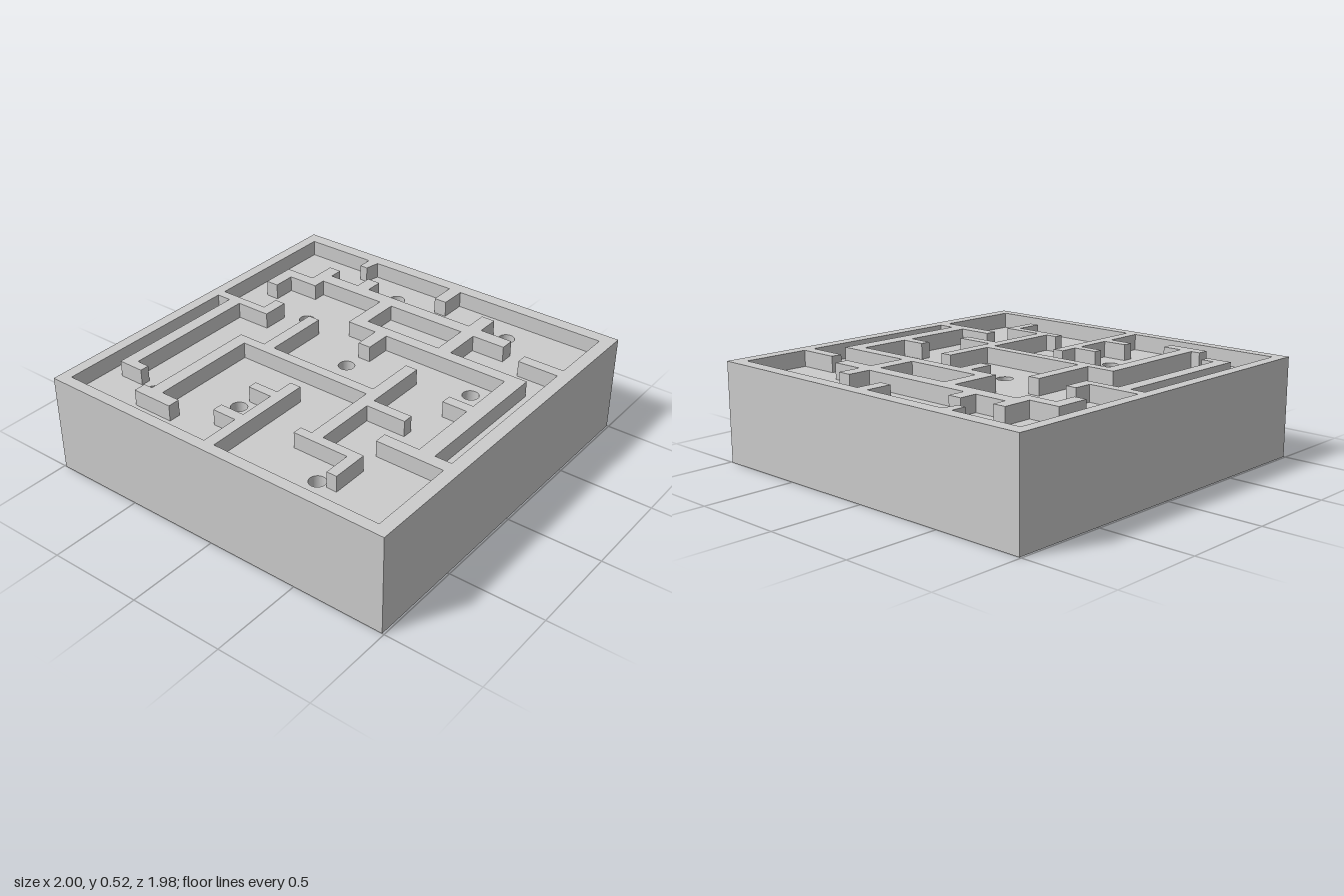
import * as THREE from 'three';

const TOP = 0.525, FLOOR = 0.44, PIT = 0.1;
const X = 1, Z = 0.99;

// Maze walls as [x0, x1, z0, z1], grouped by connected run
const WALLS = {
  backWall: [
    [0.11, 0.16, -0.93, -0.59], [-0.69, 0.11, -0.85, -0.78],
    [-0.69, -0.64, -0.78, -0.71], [0.16, 0.255, -0.65, -0.59],
  ],
  leftWall: [
    [-0.94, -0.33, -0.06, 0], [-0.73, -0.675, -0.195, -0.06], [-0.48, -0.43, -0.195, -0.06],
  ],
  centreWall: [
    [-0.835, -0.77, -0.605, -0.38], [-0.77, -0.13, -0.555, -0.485],
    [-0.185, -0.13, -0.485, 0.285], [-0.13, 0.23, -0.4, -0.335],
    [-0.595, 0.14, 0.285, 0.35], [-0.265, -0.21, 0.35, 0.565],
    [-0.645, -0.595, 0.22, 0.58], [-0.79, -0.645, 0.525, 0.58],
  ],
  frontWall: [
    [-0.47, -0.405, 0.555, 0.92], [-0.405, 0.375, 0.745, 0.83],
    [-0.02, 0.035, 0.61, 0.745], [0.31, 0.375, -0.2, 0.745],
    [0.17, 0.31, -0.03, 0.04], [0.375, 0.58, -0.2, -0.125],
    [0.375, 0.58, 0.315, 0.39], [0.58, 0.655, -0.585, 0.57],
    [0.655, 0.78, 0.315, 0.39], [0.655, 0.75, -0.405, -0.33],
    [0.51, 0.73, -0.655, -0.585], [0.51, 0.573, -0.825, -0.655],
    [0.39, 0.51, -0.825, -0.755],
  ],
  frontStub: [[0.51, 0.57, 0.7, 0.92]],
  rightStub: [[0.79, 0.93, 0.01, 0.08]],
};

// Centres of the ball holes, x and z
const HOLES = [
  [-0.69, -0.63], [0.31, -0.48], [-0.545, -0.205], [0.07, -0.03],
  [0.78, -0.23], [-0.78, 0.465], [0.79, 0.465], [0.22, 0.615],
];
const HOLE_RADIUS = 0.042;

const rectPoints = (x0, x1, z0, z1) => [
  new THREE.Vector2(x0, z0), new THREE.Vector2(x1, z0),
  new THREE.Vector2(x1, z1), new THREE.Vector2(x0, z1),
];

export function createModel() {
  const model = new THREE.Group();
  model.name = 'marbleMaze';
  const material = new THREE.MeshStandardMaterial({ color: 0xcccccc });

  const add = (geometry, name, parent = model) => {
    const mesh = new THREE.Mesh(geometry, material);
    mesh.name = name;
    parent.add(mesh);
    return mesh;
  };

  // Extrudes a plan shape (x, z) downward from y = top to y = bottom
  const slab = (shape, top, bottom, name, parent) => {
    const geometry = new THREE.ExtrudeGeometry(shape, {
      depth: top - bottom, bevelEnabled: false, curveSegments: 32,
    });
    geometry.rotateX(Math.PI / 2).translate(0, top, 0);
    return add(geometry, name, parent);
  };

  // Solid bottom that closes the ball holes
  slab(new THREE.Shape(rectPoints(-X, X, -Z, Z)), PIT, 0, 'bottom');

  // Body whose top is the maze floor, pierced by the ball holes
  const body = new THREE.Shape(rectPoints(-X, X, -Z, Z));
  for (const [x, z] of HOLES) {
    body.holes.push(new THREE.Path().absarc(x, z, HOLE_RADIUS, 0, Math.PI * 2, true));
  }
  slab(body, FLOOR, PIT, 'body');

  // Raised border, with a small pointed stub on the right-hand inner edge
  const rim = new THREE.Shape(rectPoints(-X, X, -Z, Z));
  const inner = rectPoints(-0.94, 0.93, -0.93, 0.92);
  const notch = [[0.93, -0.535], [0.85, -0.535], [0.85, -0.49], [0.93, -0.475]]
    .map(([x, z]) => new THREE.Vector2(x, z));
  inner.splice(2, 0, ...notch);
  rim.holes.push(new THREE.Path(inner));
  slab(rim, TOP, FLOOR, 'rim');

  // Maze walls standing on the floor, level with the rim
  for (const [name, rects] of Object.entries(WALLS)) {
    const group = new THREE.Group();
    group.name = name;
    model.add(group);
    for (const [x0, x1, z0, z1] of rects) {
      const box = new THREE.BoxGeometry(x1 - x0, TOP - FLOOR, z1 - z0);
      box.translate((x0 + x1) / 2, (TOP + FLOOR) / 2, (z0 + z1) / 2);
      add(box, 'wallSegment', group);
    }
  }

  return model;
}
